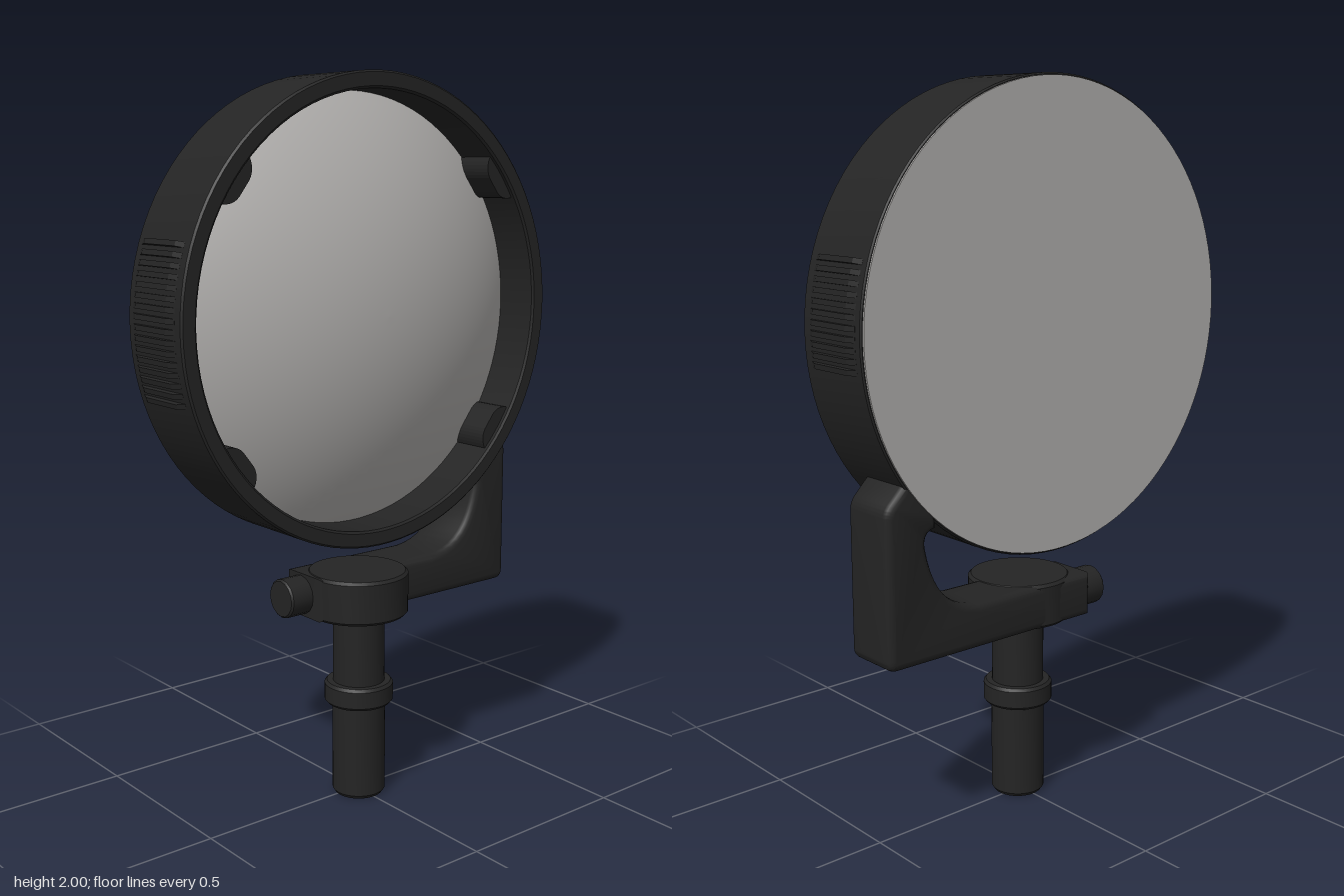
import * as THREE from 'three';
import { toCreasedNormals } from 'three/addons/utils/BufferGeometryUtils.js';

const CY = 1.372;      // height of the mirror centre
const RING = 0.628;    // outer radius of the housing

export function createModel() {
  const model = new THREE.Group();
  const black = new THREE.MeshStandardMaterial({ color: 0x242424 });
  black.name = 'blackPlastic';
  const silver = new THREE.MeshStandardMaterial({ color: 0xb4b2b0 });
  silver.name = 'silverGlass';

  const add = (parent, name, geometry, material) => {
    const mesh = new THREE.Mesh(geometry, material);
    mesh.name = name;
    parent.add(mesh);
    return mesh;
  };
  const lathe = (points, segments) => toCreasedNormals(
    new THREE.LatheGeometry(points.map(([r, y]) => new THREE.Vector2(r, y)), segments), 0.6);

  // Mirror head, slightly narrower than tall
  const head = new THREE.Group();
  head.name = 'mirrorHead';
  head.position.y = CY;
  head.scale.x = 0.985;
  model.add(head);

  // Housing ring with a thin front lip
  add(head, 'housingRing', lathe([
    [0.585, -0.138], [RING - 0.004, -0.138], [RING, -0.134], [RING, 0.1],
    [RING - 0.005, 0.105], [0.588, 0.105], [0.582, 0.1], [0.582, -0.138], [0.585, -0.138],
  ], 96).rotateX(Math.PI / 2), black);

  // Convex glass: a shallow spherical cap
  const R = 1.12;
  const cap = [];
  for (let i = 0; i <= 20; i++) {
    const r = 0.584 * (1 - i / 20);
    cap.push(new THREE.Vector2(r, 0.138 - R + Math.sqrt(R * R - r * r)));
  }
  add(head, 'convexGlass', new THREE.LatheGeometry(cap, 96).rotateX(Math.PI / 2), silver);

  // Flat back plate
  const back = add(head, 'backPlate', new THREE.CylinderGeometry(0.622, 0.622, 0.006, 96), silver);
  back.rotation.x = Math.PI / 2;
  back.position.z = -0.14;

  // Four rounded retaining tabs inside the ring
  const tab = new THREE.Shape();
  tab.moveTo(0.6, -0.07);
  tab.lineTo(0.575, -0.07);
  tab.quadraticCurveTo(0.545, -0.055, 0.542, -0.025);
  tab.lineTo(0.542, 0.025);
  tab.quadraticCurveTo(0.545, 0.055, 0.575, 0.07);
  tab.lineTo(0.6, 0.07);
  const tabGeometry = new THREE.ExtrudeGeometry(tab, { depth: 0.115, bevelEnabled: false, curveSegments: 6 });
  for (const degrees of [38, 142, 218, 322]) {
    const mesh = add(head, 'retainingTab', tabGeometry, black);
    mesh.rotation.z = THREE.MathUtils.degToRad(degrees);
    mesh.position.z = -0.025;
  }

  // Grip ribs with tapered ends on both sides of the housing
  const rib = new THREE.Shape([
    [0.6, -0.115], [0.628, -0.115], [0.639, -0.09], [0.639, 0.05], [0.628, 0.075], [0.6, 0.075],
  ].map(([r, z]) => new THREE.Vector2(r, z)));
  const ribGeometry = new THREE.ExtrudeGeometry(rib, { depth: 0.014, bevelEnabled: false });
  ribGeometry.translate(0, 0, -0.007).rotateX(Math.PI / 2);
  for (const [side, first] of [[1, -7], [-1, -17]]) {
    for (let a = first; a <= 19; a += 2.4) {
      const mesh = add(head, 'gripRib', ribGeometry, black);
      const angle = THREE.MathUtils.degToRad(a);
      mesh.rotation.z = side > 0 ? angle : Math.PI - angle;
    }
  }

  // L-shaped bracket joining the lower left of the ring
  const arm = new THREE.Shape();
  arm.moveTo(-0.14, 0.53);
  arm.lineTo(0.525, 0.53);
  arm.quadraticCurveTo(0.555, 0.53, 0.555, 0.56);
  arm.lineTo(0.555, 0.925);
  arm.quadraticCurveTo(0.555, 0.95, 0.535, 0.968);
  arm.lineTo(0.49, 1.015);
  arm.lineTo(0.4, 0.925);
  arm.lineTo(0.4, 0.88);
  arm.quadraticCurveTo(0.438, 0.875, 0.432, 0.835);
  arm.bezierCurveTo(0.41, 0.72, 0.36, 0.66, 0.26, 0.652);
  arm.lineTo(-0.14, 0.652);
  arm.closePath();
  const armGeometry = new THREE.ExtrudeGeometry(arm, {
    depth: 0.13, bevelThickness: 0.02, bevelSize: 0.02, bevelOffset: -0.02, bevelSegments: 3, curveSegments: 10,
  });
  armGeometry.translate(0, 0, -0.12);
  add(model, 'bracketArm', toCreasedNormals(armGeometry, 0.6), black);

  // Clamp hub around the post
  const hub = add(model, 'clampHub', lathe([
    [0, 0.53], [0.135, 0.53], [0.143, 0.538], [0.143, 0.646], [0.135, 0.654], [0, 0.654],
  ], 48), black);
  hub.position.set(0.005, 0, 0);

  // Clamp screw at the free end of the bracket
  const screw = add(model, 'clampScrew', lathe([
    [0, 0], [0.055, 0], [0.055, 0.082], [0.05, 0.087], [0, 0.087],
  ], 16), black);
  screw.rotation.z = Math.PI / 2;
  screw.position.set(-0.123, 0.591, -0.07);

  // Post with a raised collar
  const post = add(model, 'post', lathe([
    [0, 0], [0.068, 0], [0.075, 0.01], [0.075, 0.272], [0.09, 0.272], [0.097, 0.28],
    [0.097, 0.327], [0.09, 0.335], [0.073, 0.335], [0.073, 0.54],
  ], 40), black);
  post.position.z = 0.012;

  return model;
}
